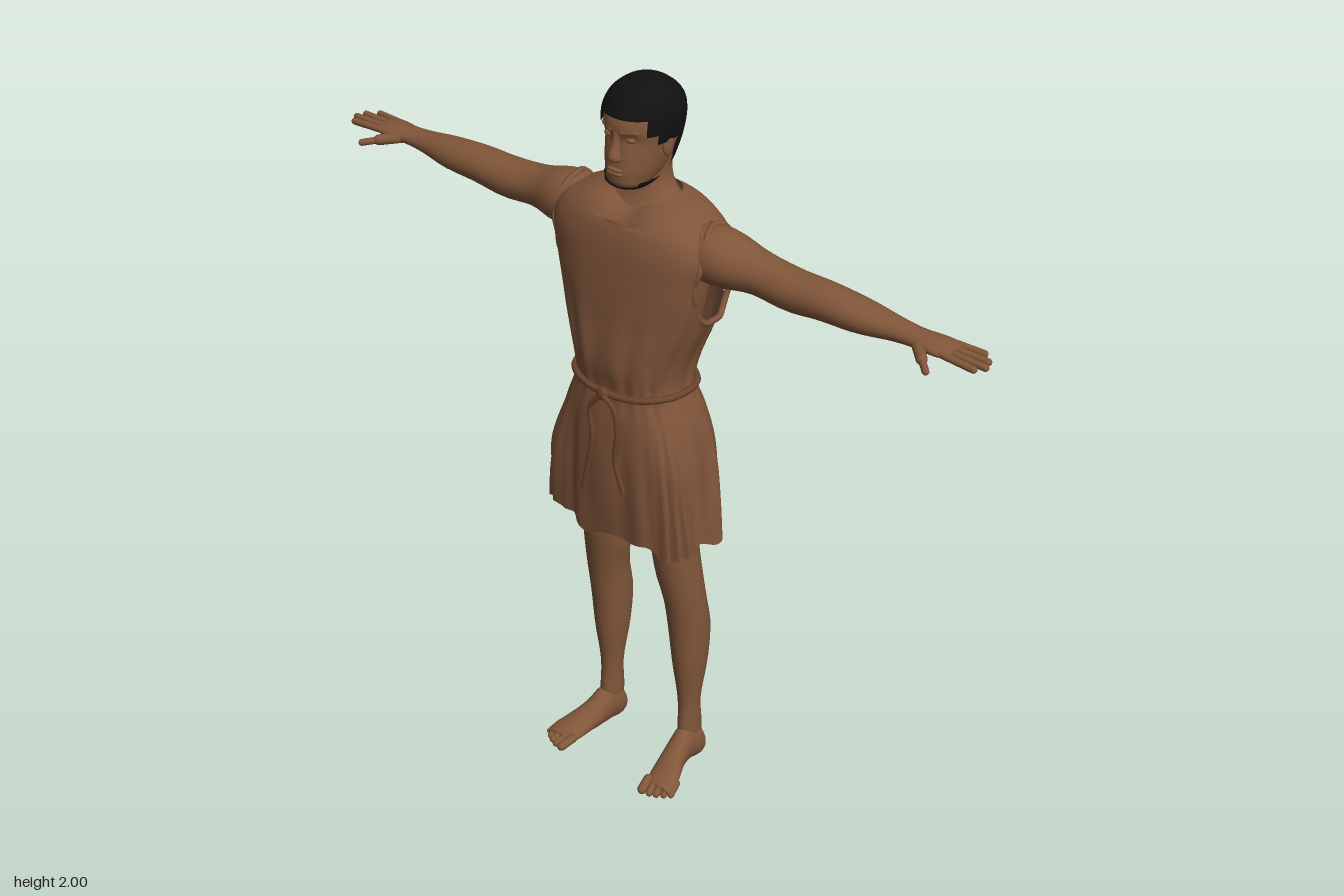
import * as THREE from 'three';

const AXES = { // cos direction, sin direction and length direction of a cross-section
  y: (t, u, v) => new THREE.Vector3(u, t, v),
  x: (t, u, v) => new THREE.Vector3(t, v, u),
  z: (t, u, v) => new THREE.Vector3(v, u, t),
};

// Smooth skin over rows of [t, uMin, uMax, vMin, vMax]
function loft(rows, { axis = 'y', n = 24, steps = 24, exp = 2, bend, keep, caps = true } = {}) {
  const spline = new THREE.CubicInterpolant(
    new Float32Array(rows.map(r => r[0])), new Float32Array(rows.flatMap(r => r.slice(1))), 4);
  const t0 = rows[0][0], t1 = rows[rows.length - 1][0];
  const pts = [], index = [];
  const power = c => Math.sign(c) * Math.abs(c) ** (2 / exp);
  for (let i = 0; i <= steps; i++) {
    const t = t0 + (t1 - t0) * (0.5 - 0.5 * Math.cos(Math.PI * i / steps));
    const [u0, u1, v0, v1] = spline.evaluate(t);
    for (let j = 0; j < n; j++) {
      const a = j / n * Math.PI * 2;
      const p = AXES[axis](t, (u0 + u1) / 2 + (u1 - u0) / 2 * power(Math.cos(a)),
        (v0 + v1) / 2 + (v1 - v0) / 2 * power(Math.sin(a)));
      if (bend) bend(p, a);
      pts.push(p);
    }
  }
  for (let i = 0; i < steps; i++) for (let j = 0; j < n; j++) {
    const k = (j + 1) % n, a = i * n + j, b = a + n, c = i * n + k, d = c + n;
    const mid = pts[a].clone().add(pts[d]).multiplyScalar(0.5);
    if (!keep || keep(mid)) index.push(a, b, c, b, d, c);
  }
  if (caps) for (const end of [0, steps]) {
    const mid = new THREE.Vector3();
    for (let j = 0; j < n; j++) mid.addScaledVector(pts[end * n + j], 1 / n);
    const m = pts.push(mid) - 1;
    if (keep && !keep(mid)) continue;
    for (let j = 0; j < n; j++) {
      const a = end * n + j, b = end * n + (j + 1) % n;
      index.push(m, ...(end ? [b, a] : [a, b]));
    }
  }
  const g = new THREE.BufferGeometry().setFromPoints(pts);
  g.setIndex(index);
  g.computeVertexNormals();
  return g;
}

// Rounded rod between two points
function rod(a, b, r) {
  const A = new THREE.Vector3(...a), B = new THREE.Vector3(...b), d = B.clone().sub(A);
  const g = new THREE.CapsuleGeometry(r, d.length(), 5, 10);
  g.applyQuaternion(new THREE.Quaternion().setFromUnitVectors(new THREE.Vector3(0, 1, 0), d.normalize()));
  return g.translate(...A.add(B).multiplyScalar(0.5).toArray());
}

const blob = (x, y, z, rx, ry, rz) => new THREE.SphereGeometry(1, 18, 12).scale(rx, ry, rz).translate(x, y, z);

function rope(points, r, closed = false) {
  const curve = new THREE.CatmullRomCurve3(points.map(p => new THREE.Vector3(...p)), closed);
  return new THREE.TubeGeometry(curve, points.length * 6, r, 8, closed);
}

function mirrored(g) {
  const m = g.clone().scale(-1, 1, 1), ix = m.index.array;
  for (let i = 0; i < ix.length; i += 3) [ix[i], ix[i + 1]] = [ix[i + 1], ix[i]];
  m.computeVertexNormals();
  return m;
}

export function createModel() {
  const model = new THREE.Group();
  const mat = (name, color, side = THREE.FrontSide) => {
    const m = new THREE.MeshStandardMaterial({ color, side });
    m.name = name;
    return m;
  };
  const skin = mat('skin', 0x82573a);
  const cloth = mat('cloth', 0x80553a, THREE.DoubleSide);
  const cord = mat('cord', 0x6b452c);
  const black = mat('hair', 0x111111, THREE.DoubleSide);
  const add = (name, g, m, parent = model) => {
    const mesh = new THREE.Mesh(g, m);
    mesh.name = name;
    parent.add(mesh);
  };
  const pair = (name, g, m) => {
    add('left' + name, g, m);
    add('right' + name, mirrored(g), m);
  };
  const bump = (x, c, w) => Math.exp(-(((x - c) / w) ** 2));

  // Torso and neck
  add('torso', loft([
    [0.84, -0.14, 0.14, -0.1, 0.06], [0.98, -0.17, 0.17, -0.13, 0.09], [1.2, -0.135, 0.135, -0.1, 0.09],
    [1.42, -0.18, 0.18, -0.13, 0.09], [1.55, -0.2, 0.2, -0.13, 0.08], [1.63, -0.19, 0.19, -0.12, 0.05],
    [1.675, -0.11, 0.11, -0.115, 0.02], [1.72, -0.065, 0.065, -0.105, 0], [1.82, -0.06, 0.06, -0.1, 0.01],
  ], { n: 32, steps: 36 }), skin);

  // Head
  const head = [
    [1.738, -0.022, 0.022, 0.005, 0.05], [1.75, -0.045, 0.045, -0.025, 0.074], [1.775, -0.06, 0.06, -0.075, 0.083],
    [1.82, -0.072, 0.072, -0.105, 0.08], [1.86, -0.078, 0.078, -0.12, 0.074], [1.9, -0.082, 0.082, -0.127, 0.079],
    [1.94, -0.077, 0.077, -0.118, 0.066], [1.97, -0.056, 0.056, -0.09, 0.04], [1.985, -0.03, 0.03, -0.06, 0.01],
    [1.99, -0.008, 0.008, -0.03, -0.015],
  ];
  const sockets = p => {
    if (p.z > 0) p.z -= 0.009 * bump(p.y, 1.876, 0.014) * bump(Math.abs(p.x), 0.033, 0.02);
  };
  add('head', loft(head, { n: 48, steps: 48, exp: 2.2, bend: sockets }), skin);
  add('nose', loft([
    [1.815, -0.008, 0.008, 0.065, 0.084], [1.823, -0.018, 0.018, 0.06, 0.096], [1.835, -0.015, 0.015, 0.06, 0.1],
    [1.86, -0.01, 0.01, 0.06, 0.088], [1.895, -0.011, 0.011, 0.06, 0.08],
  ], { n: 14, steps: 12 }), skin);
  for (const y of [1.787, 1.797]) add('lip', blob(0, y, 0.081, 0.024, 0.006, 0.008), skin);
  pair('Eye', blob(0.033, 1.876, 0.06, 0.014, 0.008, 0.01), skin);
  pair('Brow', rod([0.016, 1.896, 0.074], [0.05, 1.898, 0.058], 0.006), skin);
  pair('Ear', blob(0.08, 1.85, -0.022, 0.009, 0.032, 0.019).rotateY(0), skin);

  // Hair and beard: a shell just outside the head, left open over the face
  const shell = head.map(([y, x0, x1, z0, z1]) =>
    [y + 0.01 * (y - 1.75) / 0.24, x0 - 0.009, x1 + 0.009, z0 - 0.013, z1 + 0.006]);
  const hairy = p => {
    const hairline = p.z > 0.045 ? 1.93 : p.z > 0.015 ? 1.885 : p.z > -0.045 ? 1.865 : 1.775;
    const beard = p.z > 0.055 ? 1.757 : 1.768;
    return p.y > hairline || (p.y < beard && p.z > -0.01);
  };
  add('hairAndBeard', loft(shell, { n: 64, steps: 64, exp: 2.2, keep: hairy }), black);

  // Tunic with folds, a ragged hem and open armholes
  const tunic = [
    [0.76, -0.225, 0.225, -0.155, 0.115], [0.9, -0.215, 0.215, -0.157, 0.125], [1.03, -0.2, 0.2, -0.153, 0.128],
    [1.12, -0.18, 0.18, -0.135, 0.125], [1.2, -0.152, 0.152, -0.115, 0.118], [1.27, -0.158, 0.158, -0.135, 0.128],
    [1.4, -0.205, 0.205, -0.148, 0.118], [1.52, -0.238, 0.238, -0.15, 0.108], [1.61, -0.25, 0.25, -0.15, 0.095],
    [1.655, -0.215, 0.215, -0.147, 0.078], [1.685, -0.15, 0.15, -0.14, 0.056], [1.705, -0.085, 0.085, -0.115, 0.02],
  ];
  const inArmhole = p => Math.abs(p.x) > 0.12 && ((p.y - 1.54) / 0.13) ** 2 + ((p.z + 0.035) / 0.075) ** 2 < 1;
  const folds = (p, a) => {
    const side = Math.abs(Math.abs(a - Math.PI / 2) - Math.PI / 2 + 0.65);
    const skirt = THREE.MathUtils.smoothstep(1.18 - p.y, 0, 0.25);
    const chest = bump(p.y, 1.32, 0.12);
    let s = 1 + skirt * (0.025 * Math.sin(9 * a + 5 * p.y) + 0.02 * Math.sin(17 * a));
    s += chest * 0.02 * Math.sin(14 * a) + 0.012 * bump(p.y, 1.2, 0.06) * Math.sin(24 * a);
    if (a < Math.PI) s += skirt * bump(side, 0, 0.22) * (0.13 + 0.05 * Math.sin(40 * a + 8 * p.y));
    p.x *= s;
    p.z = (p.z + 0.015) * s - 0.015;
    p.y += bump(p.y, 0.76, 0.06) * (0.012 * Math.sin(6 * a) + 0.007 * Math.sin(13 * a));
    // Neckline dips at the front, buttocks round out the back
    if (p.y > 1.66 && p.z > -0.03) p.y -= 0.03 * bump(p.x, 0, 0.06);
    if (p.z < -0.08) p.z -= 0.012 * bump(p.y, 1.0, 0.08) * bump(Math.abs(p.x), 0.07, 0.05);
  };
  add('tunic', loft(tunic, {
    n: 128, steps: 80, exp: 2.5, bend: folds, caps: false, keep: p => !inArmhole(p),
  }), cloth);

  // Loose fabric edge round each armhole
  const rim = [];
  for (let i = 0; i < 20; i++) {
    const a = i / 20 * Math.PI * 2, y = 1.54 + 0.135 * Math.sin(a);
    const width = y > 1.6 ? 0.25 - (y - 1.6) * 0.45 : 0.25 - (1.6 - y) * 0.2;
    rim.push([width - 0.022 * Math.cos(a) ** 2 + 0.004 * Math.sin(i * 2.4), y, -0.035 + 0.078 * Math.cos(a)]);
  }
  pair('ArmholeEdge', rope(rim, 0.008, true), cloth);

  // Belt cord, knot and hanging ends
  const belt = [];
  for (let i = 0; i < 24; i++) {
    const a = i / 24 * Math.PI * 2, f = c => Math.sign(c) * Math.abs(c) ** 0.8;
    belt.push([0.157 * f(Math.cos(a)), 1.2 + 0.004 * Math.sin(3 * a), 0.002 + 0.122 * f(Math.sin(a))]);
  }
  add('belt', rope(belt, 0.009, true), cord);
  add('knot', blob(0, 1.195, 0.13, 0.018, 0.018, 0.012), cord);
  add('cordEnd', rope([[0, 1.195, 0.135], [-0.035, 1.15, 0.137], [-0.028, 1.06, 0.138], [-0.045, 0.97, 0.138],
    [-0.062, 0.89, 0.136]], 0.007), cord);
  add('cordEnd', rope([[0, 1.195, 0.135], [0.04, 1.17, 0.137], [0.052, 1.1, 0.138], [0.045, 1.02, 0.138],
    [0.07, 0.93, 0.136]], 0.007), cord);

  // Arms and hands
  pair('Arm', loft([
    [0.14, -0.09, 0.03, 1.54, 1.65], [0.2, -0.105, 0.04, 1.525, 1.672], [0.26, -0.107, 0.038, 1.525, 1.668],
    [0.34, -0.102, 0.015, 1.533, 1.642], [0.45, -0.1, 0.012, 1.525, 1.63], [0.54, -0.097, 0.01, 1.535, 1.63],
    [0.65, -0.095, 0.004, 1.54, 1.62], [0.75, -0.085, -0.015, 1.552, 1.605], [0.8, -0.083, -0.015, 1.558, 1.6],
    [0.85, -0.09, -0.008, 1.562, 1.598], [0.89, -0.092, -0.012, 1.565, 1.592], [0.905, -0.085, -0.02, 1.57, 1.586],
  ], { axis: 'x', steps: 40 }), skin);
  [[-0.082, -0.092, 0.955], [-0.061, -0.067, 0.982], [-0.04, -0.042, 0.991], [-0.02, -0.018, 0.975]].forEach(
    ([z0, z1, x]) => pair('Finger', rod([0.88, 1.58, z0], [x, 1.575, z1], 0.009), skin));
  pair('ThumbBase', rod([0.81, 1.577, -0.03], [0.856, 1.572, 0.015], 0.014), skin);
  pair('ThumbTip', rod([0.856, 1.572, 0.015], [0.888, 1.566, 0.045], 0.009), skin);

  // Legs and feet
  pair('Leg', loft([
    [0.04, 0.115, 0.16, -0.095, -0.025], [0.1, 0.11, 0.163, -0.1, -0.02], [0.2, 0.106, 0.163, -0.092, -0.025],
    [0.33, 0.09, 0.178, -0.113, -0.008], [0.45, 0.08, 0.185, -0.118, 0.004], [0.54, 0.077, 0.185, -0.1, 0.018],
    [0.62, 0.062, 0.182, -0.09, 0.034], [0.74, 0.052, 0.176, -0.08, 0.052], [0.95, 0.01, 0.17, -0.11, 0.07],
  ], { steps: 36 }), skin);
  pair('Foot', loft([
    [-0.107, 0.03, 0.05, 0.125, 0.15], [-0.095, 0.01, 0.085, 0.112, 0.165], [-0.04, 0.008, 0.125, 0.108, 0.168],
    [0.01, 0.01, 0.095, 0.11, 0.178], [0.06, 0.01, 0.066, 0.117, 0.2], [0.1, 0.008, 0.045, 0.125, 0.215],
    [0.122, 0.015, 0.035, 0.135, 0.21],
  ], { axis: 'z', steps: 24 }), skin);
  [[0.142, 0.147, 0.013], [0.164, 0.144, 0.01], [0.182, 0.136, 0.01], [0.199, 0.126, 0.009], [0.213, 0.113, 0.009]]
    .forEach(([x, z, r]) => pair('Toe', rod([x - 0.008, 0.03, z - 0.035], [x, r + 0.008, z], r), skin));

  return model;
}
